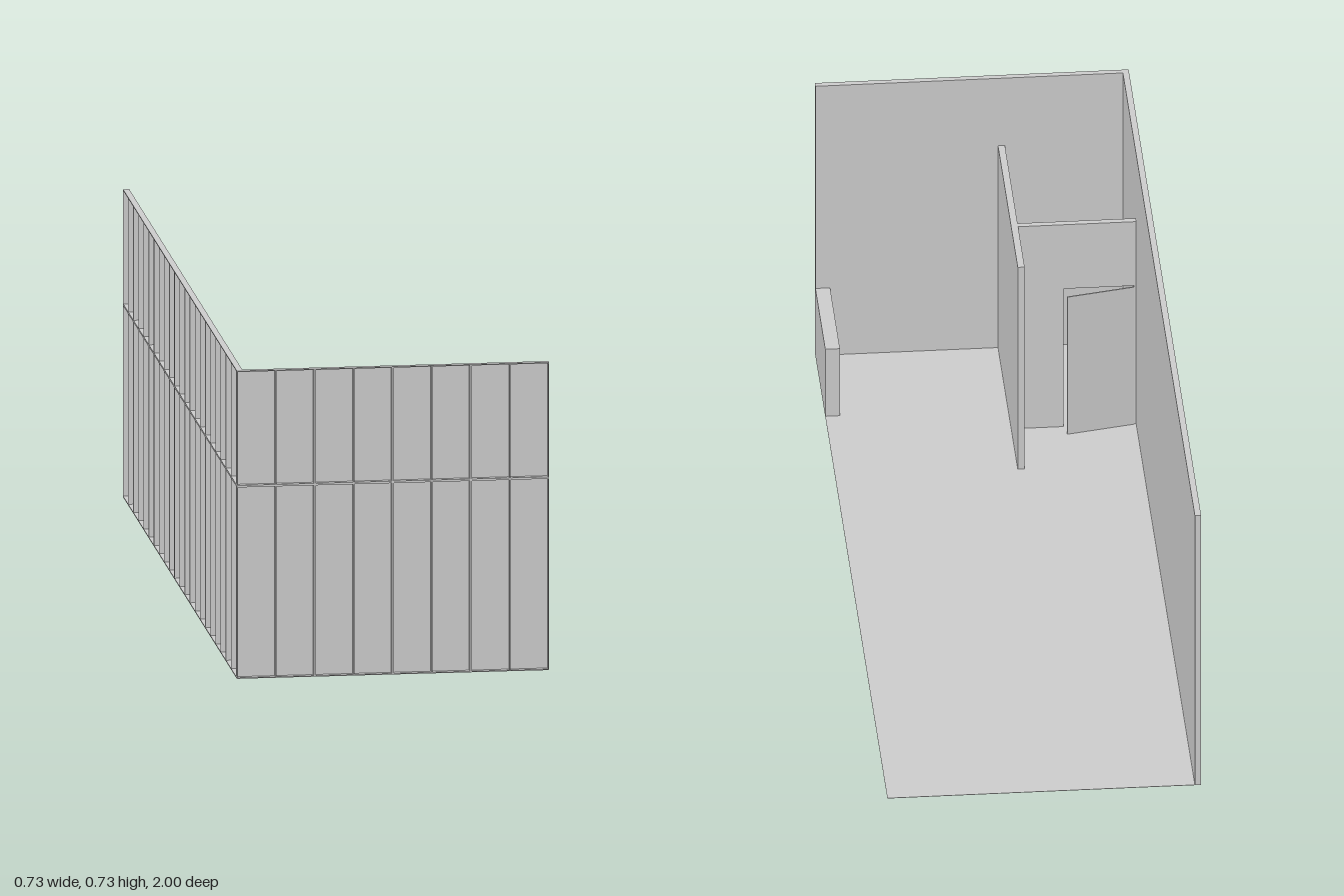
import * as THREE from 'three';

const M = 2 / 11;            // one metre of the stand in model units
const HEIGHT = 4 * M;        // outer walls
const INNER = 3 * M;         // partitions
const T = 0.0145;            // wall thickness
const SHEET = 0.002;         // facing sheet
const BAR = 0.0024;          // frame bar width
const CARPET = 0.001;
const X0 = -0.415, X1 = X0 + 4 * M;

const material = new THREE.MeshStandardMaterial({ color: 0xcccccc });

// Box given by its minimum and maximum corners
function box(name, [x0, y0, z0], [x1, y1, z1]) {
  const mesh = new THREE.Mesh(new THREE.BoxGeometry(x1 - x0, y1 - y0, z1 - z0), material);
  mesh.position.set((x0 + x1) / 2, (y0 + y1) / 2, (z0 + z1) / 2);
  mesh.name = name;
  return mesh;
}

// Wall of framed panels along local +x: sheet on the inside (z = 0), bars outward to z = T
function framedWall(name, length, bays) {
  const wall = new THREE.Group();
  wall.name = name;
  wall.add(box('facingSheet', [0, 0, 0], [length, HEIGHT, SHEET]));
  const w = length / bays;
  for (let i = 0; i < bays; i++) {
    for (const [low, high] of [[0, 2.5 * M], [2.5 * M, HEIGHT]]) {
      const a = i * w, b = a + w, mid = (a + b) / 2;
      // two edge studs and a middle stud
      for (const x of [a, mid - BAR / 2, b - BAR]) {
        wall.add(box('stud', [x, low + BAR, SHEET], [x + BAR, high - BAR, T]));
      }
      // bottom and top rails
      for (const y of [low, high - BAR]) {
        wall.add(box('rail', [a, y, SHEET], [b, y + BAR, T]));
      }
    }
  }
  return wall;
}

export function createModel() {
  const model = new THREE.Group();
  model.name = 'exhibitionStand';

  // Carpet
  model.add(box('carpet', [X0, 0, -1], [X1, CARPET, 1]));

  // Front wall, frame facing +z
  const front = framedWall('frontWall', X1 - X0, 4);
  front.position.set(X0, 0, 1 - T);
  model.add(front);

  // Long side wall, frame facing -x
  const side = framedWall('sideWall', 2 - T, 11);
  side.rotation.y = -Math.PI / 2;
  side.position.set(X0 + T, 0, -1);
  model.add(side);

  // Long partition of the storage room
  const inX = X0 + T, inZ = 1 - T, partX = -0.127;
  model.add(box('longPartition', [partX, CARPET, inZ - INNER], [partX + 0.016, INNER, inZ]));

  // Cross partition with a doorway
  const doorX = inX + 0.005, doorW = 0.163, doorH = 2.05 * M;
  const z0 = 0.621, z1 = 0.636;
  const p = new THREE.Shape();
  p.moveTo(inX, CARPET);
  p.lineTo(doorX, CARPET);
  p.lineTo(doorX, doorH);
  p.lineTo(doorX + doorW, doorH);
  p.lineTo(doorX + doorW, CARPET);
  p.lineTo(partX, CARPET);
  p.lineTo(partX, INNER);
  p.lineTo(inX, INNER);
  const cross = new THREE.Mesh(
    new THREE.ExtrudeGeometry(p, { depth: z1 - z0, bevelEnabled: false }), material);
  cross.position.z = z0;
  cross.name = 'crossPartition';
  model.add(cross);

  // Door standing ajar
  const door = new THREE.Group();
  door.name = 'door';
  door.add(box('doorLeaf', [0, CARPET, -0.003], [doorW - 0.002, doorH - 0.002, 0]));
  door.position.set(doorX, 0, z0);
  door.rotation.y = 0.2;
  model.add(door);

  // Low counter wall by the open side
  model.add(box('lowWall', [X1 - 0.034, CARPET, inZ - 1.5 * M], [X1, M, inZ]));

  return model;
}
